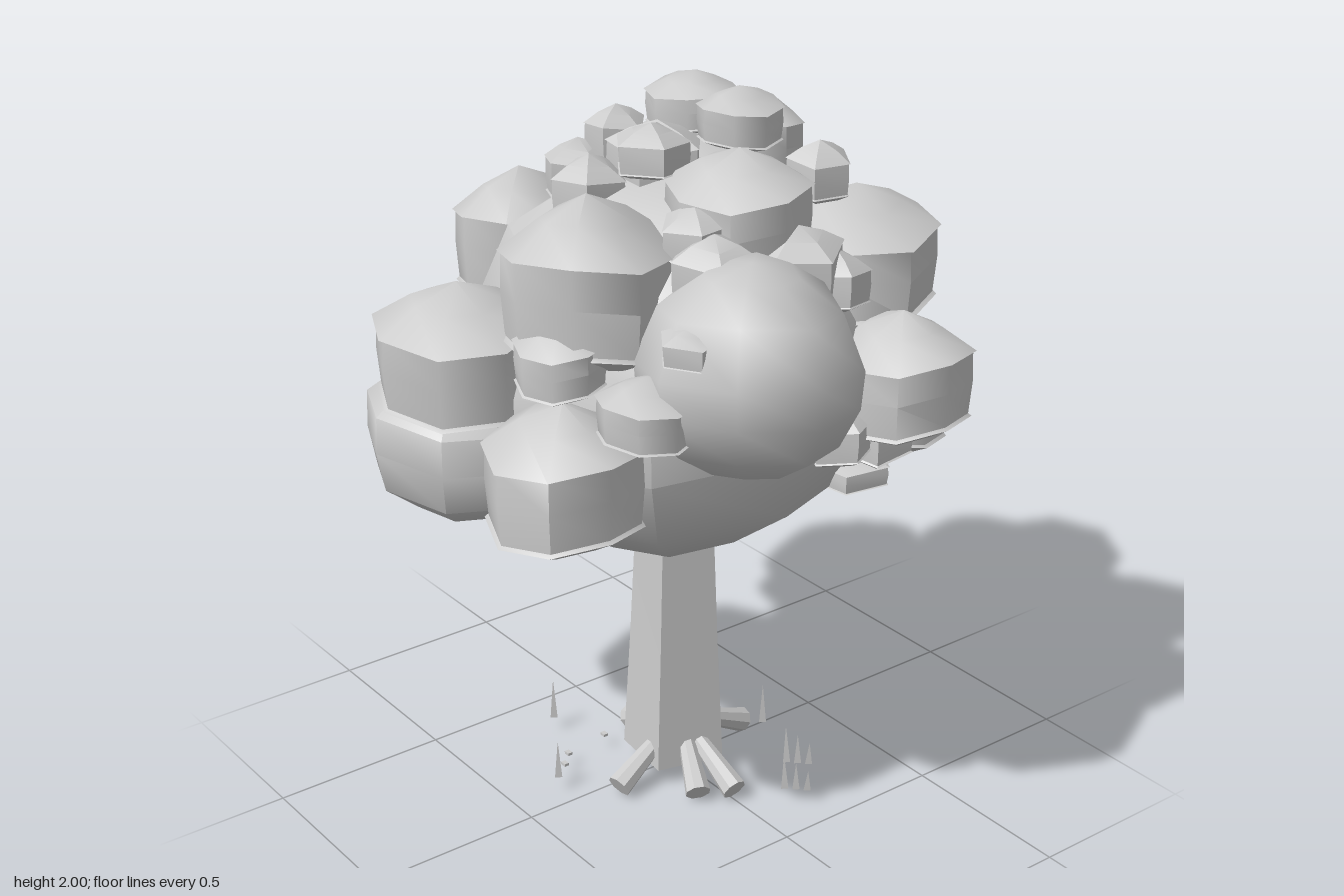
import * as THREE from 'three';
import { toCreasedNormals } from 'three/addons/utils/BufferGeometryUtils.js';

const material = new THREE.MeshStandardMaterial({ color: 0xcccccc, side: THREE.DoubleSide });

// Half-profiles from bottom to top, in units of radius and half height
const DRUM = [[0, -1], [0.65, -0.88], [1.01, -0.68], [0.96, -0.64], [1, -0.1], [0.98, 0.4], [1.03, 0.38], [0.55, 0.74], [0, 1]];
const BARREL = [[0, -1], [0.55, -0.9], [0.92, -0.56], [1, -0.05], [0.98, 0.42], [0.62, 0.78], [0, 1]];
const ROUND = [[0, -1], [0.41, -0.96], [0.79, -0.68], [0.97, -0.28], [1, 0.1], [0.8, 0.62], [0.42, 0.9], [0, 1]];

// Clumps: x, y, z, radius, half height
const DRUMS = [
  [0.2, 1.08, -0.58, 0.17, 0.17], [0.28, 1.56, -0.37, 0.215, 0.18],
  [0.53, 1.31, -0.32, 0.18, 0.17], [0.15, 1.61, 0.385, 0.215, 0.22],
  [-0.17, 1.365, 0.565, 0.22, 0.185], [0.28, 1.18, 0.555, 0.2, 0.19],
  [-0.47, 1.51, 0.17, 0.18, 0.19], [-0.42, 1.48, -0.42, 0.145, 0.13],
  [-0.6, 1.41, -0.22, 0.11, 0.1], [-0.52, 1.52, -0.04, 0.13, 0.12],
  [-0.24, 1.65, -0.2, 0.235, 0.18], [-0.12, 1.905, -0.15, 0.125, 0.08],
  [0.12, 1.925, -0.11, 0.11, 0.08], [0.26, 1.74, 0, 0.185, 0.16],
  [-0.12, 1.77, -0.36, 0.13, 0.13], [0.48, 1.39, 0.45, 0.125, 0.09],
  [0.21, 1.45, 0.51, 0.115, 0.1],
];
const BARRELS = [
  [-0.18, 1.4, -0.55, 0.255, 0.21], [-0.38, 1.025, 0.43, 0.27, 0.22],
  [-0.575, 1.235, -0.19, 0.25, 0.19],
];
const BALLS = [[0.545, 1.46, 0.19, 0.28, 0.265]];
// Small angular tufts with fewer sides
const TUFTS = [
  [0.07, 1.87, 0.13, 0.1, 0.07], [-0.1, 1.74, 0.2, 0.1, 0.09],
  [-0.23, 1.82, 0.02, 0.085, 0.08], [-0.29, 1.72, 0.1, 0.1, 0.09],
  [0.39, 1.65, 0.18, 0.115, 0.1], [0.26, 1.79, -0.26, 0.085, 0.08],
  [0.42, 1.63, -0.06, 0.12, 0.1], [0.57, 1.57, 0.39, 0.08, 0.05],
  [0.4, 1.1, -0.36, 0.1, 0.1], [-0.05, 1.8, 0.02, 0.13, 0.1],
  [0.52, 1.19, -0.12, 0.09, 0.08], [0.3, 1.72, 0.17, 0.09, 0.07],
  [0.34, 0.97, -0.33, 0.11, 0.05], [0.4, 1.3, -0.4, 0.08, 0.07],
  [0.46, 1.58, -0.15, 0.09, 0.08],
];

function add(parent, name, geometry) {
  const mesh = new THREE.Mesh(geometry, material);
  mesh.name = name;
  parent.add(mesh);
  return mesh;
}

// A lathed clump, made uneven by its angle and height
function clump(profile, sides, seed, r, h, crease) {
  const geo = new THREE.LatheGeometry(profile.map(([x, y]) => new THREE.Vector2(x, y)), sides);
  const p = geo.attributes.position;
  for (let i = 0; i < p.count; i++) {
    const x = p.getX(i), y = p.getY(i), z = p.getZ(i);
    const a = Math.atan2(z, x), d = Math.min(1, Math.hypot(x, z));
    const s = 1 + 0.02 * d * Math.sin(3 * a + seed);
    const lift = 0.09 * d * Math.sin(2 * a + seed * 1.7);
    p.setXYZ(i, x * s * r, (y + lift) * h, z * s * r);
  }
  return toCreasedNormals(geo, crease);
}

// Five-cornered tapering trunk built from scaled rings
function trunkGeometry() {
  const ring = [[0.09, 0.13], [0.14, -0.06], [0.06, -0.11], [-0.08, -0.1], [-0.1, 0.11]];
  const verts = [], index = [], n = ring.length;
  for (const [y, s] of [[0.06, 1], [0.45, 0.86], [0.85, 0.74]])
    for (const [x, z] of ring) verts.push(0.02 + (x - 0.02) * s, y, z * s);
  for (let k = 0; k < 2; k++)
    for (let i = 0; i < n; i++) {
      const a = k * n + i, b = k * n + (i + 1) % n;
      index.push(a, a + n, b, b, a + n, b + n);
    }
  for (let i = 1; i < n - 1; i++) index.push(0, i, i + 1);
  const geo = new THREE.BufferGeometry();
  geo.setAttribute('position', new THREE.Float32BufferAttribute(verts, 3));
  geo.setIndex(index);
  return toCreasedNormals(geo, 0.4);
}

// A cylinder reaching between two points
function rod(parent, name, from, to, r0, r1, sides) {
  const a = new THREE.Vector3(...from), b = new THREE.Vector3(...to);
  const dir = b.clone().sub(a);
  const geo = new THREE.CylinderGeometry(r1, r0, dir.length(), sides);
  const mesh = add(parent, name, toCreasedNormals(geo, 0.5));
  mesh.position.copy(a).add(b).multiplyScalar(0.5);
  mesh.quaternion.setFromUnitVectors(new THREE.Vector3(0, 1, 0), dir.normalize());
}

export function createModel() {
  const tree = new THREE.Group();
  tree.name = 'tree';
  add(tree, 'trunk', trunkGeometry());

  // Foliage: one core with clumps set around it
  const foliage = new THREE.Group();
  foliage.name = 'foliage';
  tree.add(foliage);
  add(foliage, 'foliageCore', clump(ROUND, 8, 1, 0.56, 0.52, 0.85)).position.set(0.01, 1.28, -0.01);
  const sets = [
    ['foliageDrum', DRUMS, DRUM, 8, 0.85, 0],
    ['foliageBarrel', BARRELS, BARREL, 8, 0.85, 0],
    ['foliageBall', BALLS, ROUND, 8, 1, 0],
    ['foliageTuft', TUFTS, DRUM, 5, 0.5, 0.9],
  ];
  for (const [name, list, profile, sides, crease, turn] of sets)
    list.forEach(([x, y, z, r, h], i) => {
      const mesh = add(foliage, name, clump(profile, sides, i * 2.4, r, h, crease));
      mesh.position.set(x, y, z);
      mesh.rotation.y = i * turn;
    });

  // Roots sloping out to the ground: angle, reach
  const roots = [[0, 0.25], [1.4, 0.25], [3.14, 0.24], [4.6, 0.25], [0.42, 0.22]];
  for (const [a, len] of roots) {
    const x = Math.cos(a), z = Math.sin(a);
    rod(tree, 'root', [0.02 + x * 0.07, 0.13, z * 0.07], [0.02 + x * len, 0.04, z * len], 0.022, 0.036, 8);
  }

  // Grass clusters: x, z, blade count, height
  const grass = [[-0.34, 0.19, 1, 0.12], [-0.07, 0.36, 1, 0.11], [0.38, -0.13, 3, 0.1],
    [0.05, -0.28, 1, 0.12], [0.28, -0.22, 3, 0.11]];
  for (const [x, z, count, h] of grass)
    for (let i = 0; i < count; i++) {
      const o = (i - (count - 1) / 2) * 0.022;
      rod(tree, 'grassBlade', [x + o, 0.05, z - o], [x + o * 1.2, 0.05 + h * (1 - 0.2 * i), z - o], 0.012, 0.0005, 3);
    }

  // Pebbles
  for (const [x, z] of [[-0.15, 0.27], [-0.11, 0.31], [-0.2, -0.1], [-0.17, 0.13]]) {
    const pebble = add(tree, 'pebble', new THREE.BoxGeometry(0.018, 0.008, 0.014));
    pebble.position.set(x, 0.052, z);
  }
  return tree;
}
